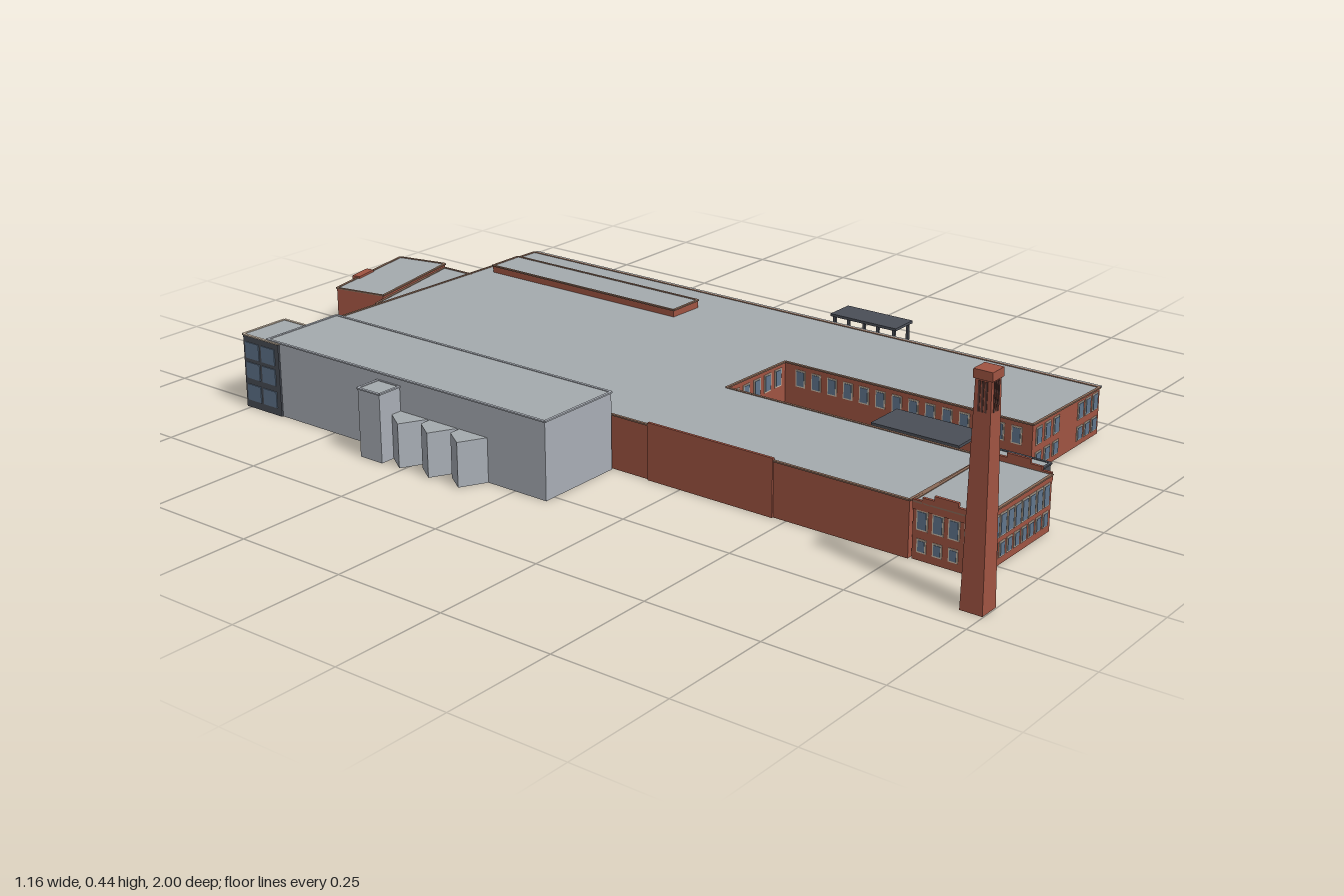
import * as THREE from 'three';
import { mergeGeometries } from 'three/addons/utils/BufferGeometryUtils.js';

const mat = (color) => new THREE.MeshStandardMaterial({ color, flatShading: true, side: THREE.DoubleSide });

export function createModel() {
  const model = new THREE.Group();
  const brick = mat(0xa05442), roofGrey = mat(0xa5abae), metal = mat(0xa9aeb6), dark = mat(0x4a4e57),
    glass = mat(0x60758c), frame = mat(0xc8b8a6), coping = mat(0x8a6a58), soot = mat(0x5a3a34);

  const add = (name, geo, material, parent = model) => {
    const m = new THREE.Mesh(geo, material);
    m.name = name;
    parent.add(m);
    return m;
  };
  // box from min/max corners
  const box = (x0, x1, y0, y1, z0, z1) => new THREE.BoxGeometry(x1 - x0, y1 - y0, z1 - z0)
    .translate((x0 + x1) / 2, (y0 + y1) / 2, (z0 + z1) / 2);

  // open-bottomed walls, flat or sloped roof, and edge coping over a footprint of [x, z] points
  function shell(name, pts, top, wallMat, roofMat, edgeMat) {
    const g = new THREE.Group();
    g.name = name;
    model.add(g);
    const h = typeof top === 'function' ? top : () => top;
    const pos = [], edges = [];
    pts.forEach(([ax, az], i) => {
      const [bx, bz] = pts[(i + 1) % pts.length];
      const a = [ax, 0, az], b = [bx, 0, bz], c = [bx, h(bx), bz], d = [ax, h(ax), az];
      pos.push(...a, ...b, ...c, ...a, ...c, ...d);
      const A = new THREE.Vector3(...d), B = new THREE.Vector3(...c);
      const e = new THREE.BoxGeometry(0.006, 0.003, A.distanceTo(B));
      const o = new THREE.Object3D();
      o.position.copy(A).add(B).multiplyScalar(0.5);
      o.lookAt(B);
      o.updateMatrix();
      edges.push(e.applyMatrix4(o.matrix));
    });
    const walls = new THREE.BufferGeometry();
    walls.setAttribute('position', new THREE.Float32BufferAttribute(pos, 3));
    // orient the faces outward whichever way the footprint runs
    const area = pts.reduce((s, [x, z], i) => {
      const [u, v] = pts[(i + 1) % pts.length];
      return s + x * v - u * z;
    }, 0);
    if (area > 0) {
      for (let i = 0; i < pos.length; i += 9) {
        for (let k = 0; k < 3; k++) [pos[i + k], pos[i + 3 + k]] = [pos[i + 3 + k], pos[i + k]];
      }
      walls.setAttribute('position', new THREE.Float32BufferAttribute(pos, 3));
    }
    walls.computeVertexNormals();
    add(name + 'Walls', walls, wallMat, g);

    const roof = new THREE.ShapeGeometry(new THREE.Shape(pts.map(([x, z]) => new THREE.Vector2(x, -z))));
    roof.rotateX(-Math.PI / 2);
    const p = roof.attributes.position;
    for (let i = 0; i < p.count; i++) p.setY(i, h(p.getX(i)));
    roof.computeVertexNormals();
    add(name + 'Roof', roof, roofMat, g);
    if (edgeMat) add(name + 'Coping', mergeGeometries(edges), edgeMat, g);
  }
  const rect = (x0, x1, z0, z1) => [[x0, z0], [x0, z1], [x1, z1], [x1, z0]];

  // rows of windows; a to b runs left to right as seen from outside
  const frames = [], panes = [];
  function windows(a, b, n, y0, y1, w = 0.024) {
    const dx = b[0] - a[0], dz = b[1] - a[1];
    const turn = Math.atan2(-dz, dx);
    for (let i = 0; i < n; i++) {
      const t = n > 1 ? i / (n - 1) : 0.5;
      const place = (geo) => geo.rotateY(turn).translate(a[0] + dx * t, (y0 + y1) / 2, a[1] + dz * t);
      frames.push(place(new THREE.BoxGeometry(w, y1 - y0, 0.003)));
      panes.push(place(new THREE.BoxGeometry(w - 0.006, y1 - y0 - 0.006, 0.005)));
    }
  }

  // main U-shaped factory hall with a gently sloping roof
  const slope = (x) => 0.111 - (x + 0.05) * 0.018;
  shell('mainHall', [[-0.32, -0.785], [-0.32, 0.77], [-0.05, 0.77], [-0.05, 0.16], [0.16, 0.16],
    [0.16, 0.755], [0.44, 0.755], [0.44, -0.79]], slope, brick, roofGrey, coping);
  add('eave', box(0.438, 0.45, 0.099, 0.103, -0.79, 0.755), roofGrey);
  add('raisedParapet', box(-0.324, -0.318, 0, 0.122, 0.17, 0.47), brick);
  shell('roofMonitor', rect(0.25, 0.34, -0.755, -0.21), 0.122, brick, roofGrey, coping);

  // front office block with stepped side parapets
  shell('frontBlock', rect(-0.315, -0.056, 0.775, 0.915), 0.115, brick, roofGrey, coping);
  for (const x of [-0.315, -0.056]) {
    const steps = [[0.775, 0.915, 0.119], [0.795, 0.895, 0.126], [0.82, 0.87, 0.135]];
    add('steppedParapet', mergeGeometries(steps.map(([z0, z1, y]) => box(x - 0.003, x + 0.003, 0.1, y, z0, z1))), brick);
  }

  // rear annexe turned off the main axis, with link wedge and entrance pier
  shell('rearLink', [[-0.09, -0.785], [0.205, -0.785], [0.205, -0.872], [-0.09, -0.808]], 0.105, brick, roofGrey, coping);
  shell('rearAnnexe', [[-0.08, -0.945], [-0.055, -0.82], [0.21, -0.875], [0.183, -0.998]], 0.113, brick, roofGrey, coping);
  add('rearPier', box(-0.03, 0.03, 0, 0.118, -0.012, 0.008).rotateY(0.205).translate(0.03, 0, -0.968), brick);

  // tall metal-clad hall with its side additions
  shell('metalHall', rect(-0.525, -0.325, -0.69, 0.08), 0.165, metal, roofGrey, metal);
  shell('stairTower', rect(-0.529, -0.41, -0.762, -0.655), 0.163, dark, roofGrey, frame);
  shell('sideTower', rect(-0.583, -0.525, -0.365, -0.305), 0.148, metal, roofGrey, metal);
  for (let i = 0; i < 3; i++) {
    const z = -0.305 + i * 0.08;
    shell('sawtoothBay', [[-0.525, z], [-0.55, z], [-0.58, z + 0.045], [-0.525, z + 0.075]], 0.095, metal, roofGrey);
  }
  // stair tower glazing
  const glazing = [];
  for (const y of [0.035, 0.085, 0.13]) {
    for (const k of [0, 1, 2]) glazing.push(box(-0.522 + k * 0.038, -0.492 + k * 0.038, y - 0.018, y + 0.018, -0.764, -0.761));
    for (const k of [0, 1]) glazing.push(box(-0.531, -0.528, y - 0.018, y + 0.018, -0.755 + k * 0.048, -0.715 + k * 0.048));
  }
  add('stairTowerGlazing', mergeGeometries(glazing), glass);

  // tapered square chimney
  const chimney = new THREE.Group();
  chimney.name = 'chimney';
  chimney.position.set(-0.42, 0, 0.975);
  model.add(chimney);
  const r2 = Math.SQRT2;
  const square = (top, bottom, y0, y1) => new THREE.CylinderGeometry(top * r2, bottom * r2, y1 - y0, 4)
    .rotateY(Math.PI / 4).translate(0, (y0 + y1) / 2, 0);
  add('chimneyShaft', square(0.016, 0.023, 0, 0.43), brick, chimney);
  add('chimneyCap', square(0.019, 0.019, 0.428, 0.445), brick, chimney);
  const slots = [];
  for (let s = 0; s < 4; s++) {
    for (const x of [-0.007, 0, 0.007]) {
      slots.push(box(x - 0.002, x + 0.002, 0.37, 0.425, 0.01, 0.0178).rotateY(s * Math.PI / 2));
    }
  }
  add('chimneySlots', mergeGeometries(slots), soot, chimney);

  // open canopies on slim posts
  function canopy(name, x0, x1, z0, z1) {
    const parts = [box(x0, x1, 0.092, 0.098, z0, z1)];
    for (const x of [x0 + 0.007, x1 - 0.007]) {
      for (const z of [z0 + 0.008, (z0 + z1) / 2, z1 - 0.008]) parts.push(box(x - 0.003, x + 0.003, 0.004, 0.093, z - 0.003, z + 0.003));
    }
    add(name, mergeGeometries(parts), dark);
  }
  canopy('sideCanopy', 0.505, 0.577, 0.043, 0.217);
  canopy('courtyardCanopy', -0.005, 0.091, 0.483, 0.685);
  shell('courtyardShed', rect(-0.005, 0.09, 0.685, 0.835), 0.069, dark, roofGrey, dark);

  // front block windows
  windows([-0.288, 0.915], [-0.076, 0.915], 9, 0.056, 0.102);
  windows([-0.288, 0.915], [-0.076, 0.915], 9, 0.015, 0.046, 0.02);
  for (const [a, b] of [[[-0.056, 0.895], [-0.056, 0.795]], [[-0.315, 0.795], [-0.315, 0.895]]]) {
    windows(a, b, 4, 0.06, 0.1);
    windows(a, b, 4, 0.016, 0.043, 0.02);
  }
  // right wing end and courtyard walls
  for (const [x0, x1] of [[0.186, 0.257], [0.359, 0.421]]) {
    windows([x0, 0.755], [x1, 0.755], 3, 0.058, 0.096);
    windows([x0, 0.755], [x1, 0.755], 3, 0.012, 0.043);
  }
  windows([-0.019, 0.16], [0.133, 0.16], 5, 0.058, 0.098);
  windows([-0.05, 0.74], [-0.05, 0.2], 15, 0.058, 0.098);
  windows([0.16, 0.2], [0.16, 0.72], 14, 0.058, 0.096);
  // long outer wall, in groups of five
  for (let i = 0; i < 7; i++) {
    const z = 0.725 - i * 0.2;
    windows([0.44, z], [0.44, z - 0.152], 5, 0.052, 0.095);
  }
  windows([0.44, 0.725], [0.44, 0.53], 6, 0.016, 0.043);
  // rear walls
  windows([0.42, -0.79], [0.235, -0.79], 6, 0.052, 0.095);
  windows([-0.115, -0.785], [-0.3, -0.785], 6, 0.052, 0.095);
  windows([0.155, -0.993], [0.09, -0.979], 2, 0.05, 0.09, 0.03);
  windows([-0.02, -0.958], [-0.055, -0.95], 2, 0.05, 0.09, 0.027);
  windows([0.203, -0.905], [0.19, -0.965], 2, 0.055, 0.09, 0.03);
  add('windowFrames', mergeGeometries(frames), frame);
  add('windowPanes', mergeGeometries(panes), glass);

  return model;
}
